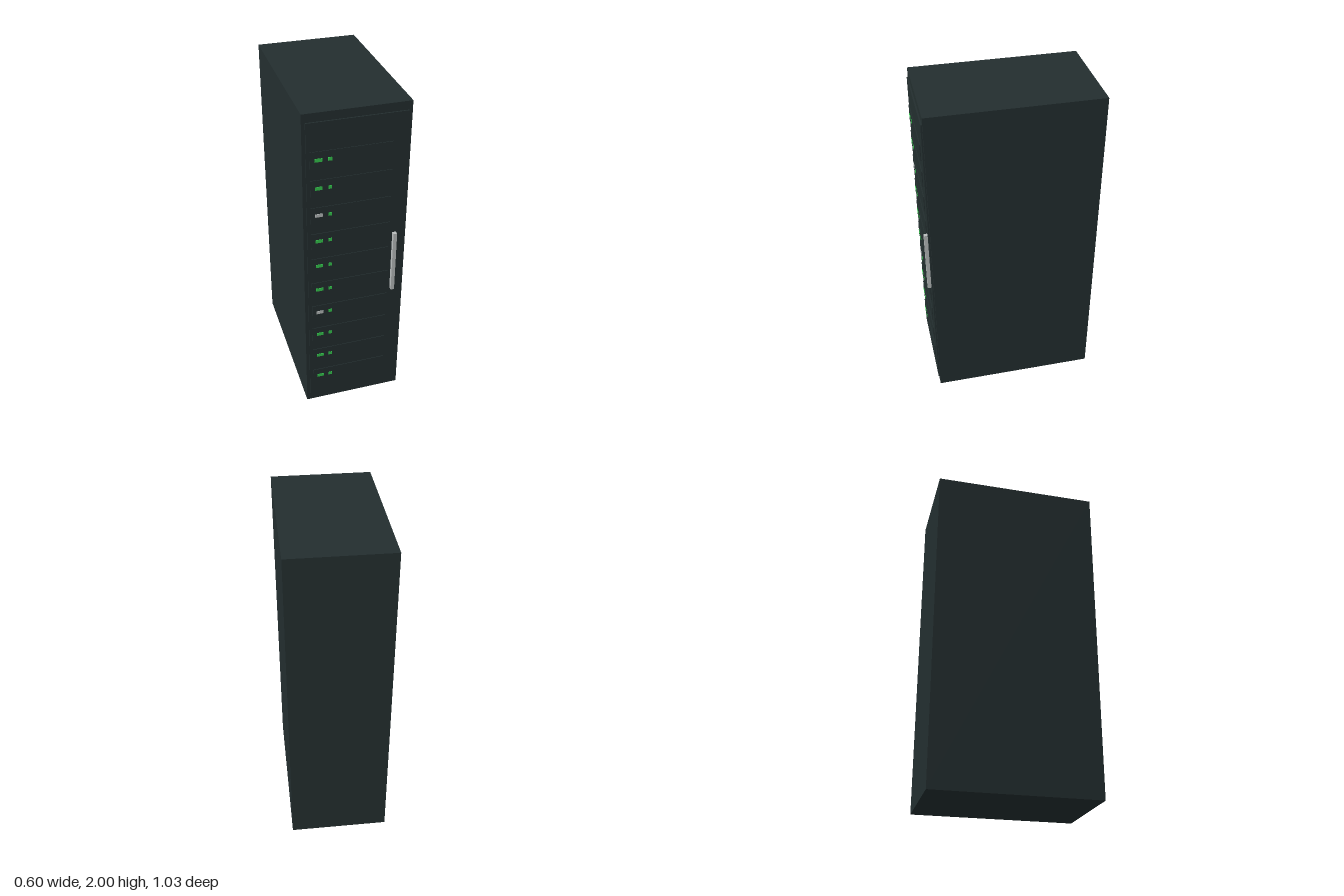
import * as THREE from 'three';

export function createModel() {
  const model = new THREE.Group();
  const mat = (name, color) => {
    const m = new THREE.MeshStandardMaterial({ color });
    m.name = name;
    return m;
  };
  const dark = mat('dark cabinet', 0x232e2f);
  const green = mat('green light', 0x35c94e);
  const silver = mat('silver', 0xb9bdbd);

  // Box given by its minimum and maximum on each axis
  const box = (name, material, [x0, x1], [y0, y1], [z0, z1], parent = model) => {
    const mesh = new THREE.Mesh(new THREE.BoxGeometry(x1 - x0, y1 - y0, z1 - z0), material);
    mesh.position.set((x0 + x1) / 2, (y0 + y1) / 2, (z0 + z1) / 2);
    mesh.name = name;
    parent.add(mesh);
  };

  // Cabinet, front door and its handle
  box('cabinet', dark, [-0.3, 0.3], [0, 2], [-0.515, 0.485]);
  box('door', dark, [-0.28, 0.28], [0.05, 1.95], [0.485, 0.493]);
  box('handle', silver, [0.218, 0.24], [0.8, 1.2], [0.493, 0.515]);

  // Ten equipment units, each with a wide and a small status light
  for (let i = 0; i < 10; i++) {
    const y = 0.205 + i * 0.17;
    const unit = new THREE.Group();
    unit.name = `unit${i + 1}`;
    model.add(unit);
    box('unitPanel', dark, [-0.26, 0.2], [y - 0.05, y + 0.05], [0.493, 0.497], unit);
    box('wideLight', i % 4 === 3 ? silver : green, [-0.235, -0.193], [y - 0.01, y + 0.01], [0.497, 0.5], unit);
    box('smallLight', green, [-0.161, -0.14], [y - 0.01, y + 0.01], [0.497, 0.5], unit);
  }
  return model;
}
